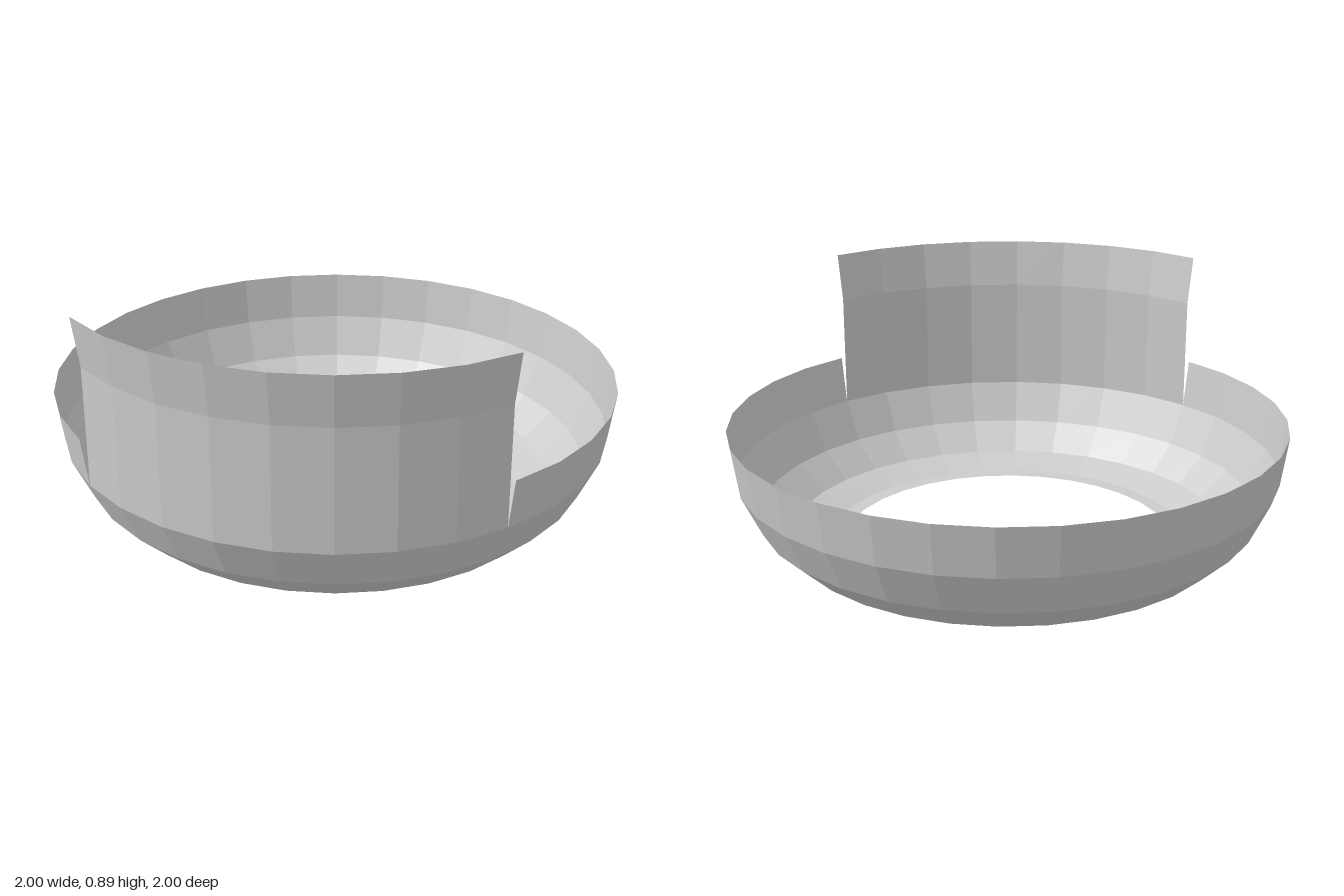
import * as THREE from 'three';

const SIDES = 32;

export function createModel() {
  const model = new THREE.Group();
  model.name = 'openBowl';
  const material = new THREE.MeshStandardMaterial({
    color: 0xcccccc, flatShading: true, side: THREE.DoubleSide,
  });

  // Revolve a [radius, height] profile through part of a full turn
  const addShell = (name, profile, startTurn, turn) => {
    const points = profile.map(([r, y]) => new THREE.Vector2(r, y));
    const geometry = new THREE.LatheGeometry(
      points, SIDES * turn, startTurn * Math.PI * 2, turn * Math.PI * 2);
    const mesh = new THREE.Mesh(geometry, material);
    mesh.name = name;
    model.add(mesh);
  };

  // Rounded base ring with an open floor
  addShell('base', [[0.61, 0], [0.67, 0], [0.8, 0.038], [0.905, 0.138], [0.975, 0.288]], 0, 1);

  // Low flared rim around three quarters of the bowl
  addShell('lowRim', [[0.975, 0.288], [1, 0.467]], 0, 0.75);

  // Tall upright wall with flared lip on the front right quarter
  addShell('raisedWall', [[0.975, 0.288], [0.975, 0.716], [1, 0.895]], 0.75, 0.25);

  return model;
}
